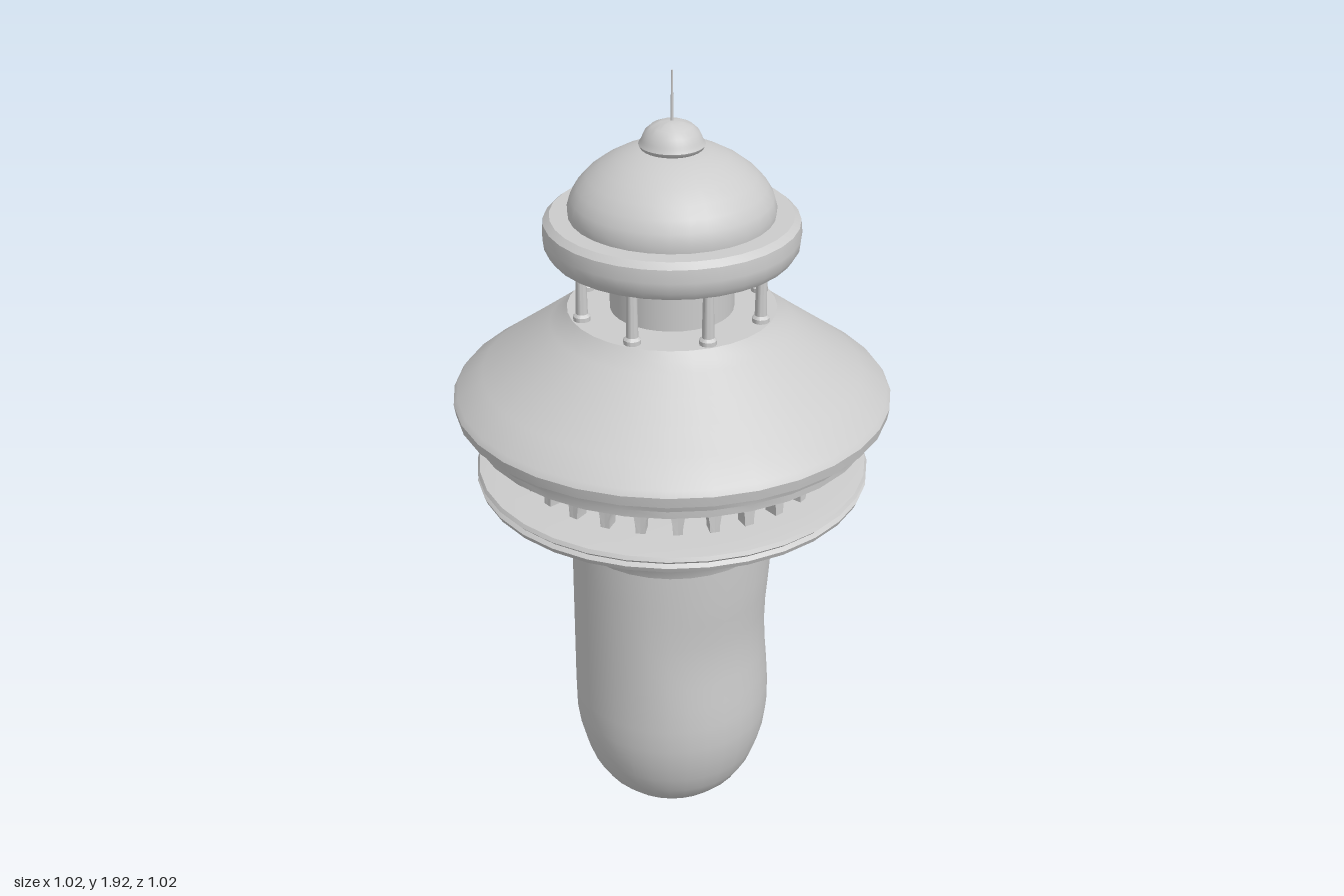
import * as THREE from 'three';
import { toCreasedNormals } from 'three/addons/utils/BufferGeometryUtils.js';

const material = new THREE.MeshStandardMaterial({ color: 0xcccccc, side: THREE.DoubleSide });
const SIDES = 32;

export function createModel() {
  const group = new THREE.Group();

  const add = (name, geometry, parent = group) => {
    const mesh = new THREE.Mesh(geometry, material);
    mesh.name = name;
    parent.add(mesh);
    return mesh;
  };
  // Turned part from [radius, height] pairs, listed from bottom to top
  const turned = (profile, sides = SIDES) =>
    new THREE.LatheGeometry(profile.map(([r, y]) => new THREE.Vector2(r, y)), sides);
  const addTurned = (name, profile, sides) =>
    add(name, toCreasedNormals(turned(profile, sides), 0.6));

  // Rounded shaft with a shallow, uneven dent on its front left side
  const shaft = turned([
    [0, 0.005], [0.055, 0.012], [0.106, 0.03], [0.15, 0.06], [0.18, 0.09], [0.205, 0.13],
    [0.222, 0.175], [0.235, 0.225], [0.243, 0.28], [0.244, 0.34], [0.244, 0.4], [0.244, 0.46],
    [0.244, 0.52], [0.244, 0.58], [0.244, 0.64], [0.244, 0.7], [0.244, 0.8],
  ]);
  const p = shaft.attributes.position;
  for (let i = 0; i < p.count; i++) {
    const x = p.getX(i), y = p.getY(i), z = p.getZ(i);
    const facing = (x + z) / (Math.hypot(x, z) * Math.SQRT2 + 1e-6);
    const dent = 0.014 * Math.exp(-(((y - 0.53) / 0.14) ** 2)) * THREE.MathUtils.smoothstep(facing, 0.1, 0.8);
    const scale = 1 - dent / 0.244;
    p.setXYZ(i, x * scale, y, z * scale);
  }
  add('shaft', toCreasedNormals(shaft, 0.9));

  // Flared support and moulded gallery floor
  addTurned('flaredSupport', [
    [0.244, 0.79], [0.252, 0.815], [0.272, 0.845], [0.305, 0.88], [0.345, 0.907], [0.375, 0.92],
  ]);
  addTurned('galleryFloor', [
    [0.375, 0.92], [0.41, 0.92], [0.417, 0.928], [0.412, 0.938], [0.44, 0.942], [0.458, 0.948],
    [0.463, 0.96], [0.455, 0.968], [0.463, 0.976], [0.458, 0.985], [0.42, 0.99], [0, 0.99],
  ]);

  // Ring of arches: one flat bay, bent round the axis and repeated
  const bays = 28, half = Math.PI / bays, outer = 0.372, depth = 0.035;
  const bayShape = new THREE.Shape();
  bayShape.moveTo(-half, 0.988);
  const open = half * 0.74;
  for (let i = 0; i <= 12; i++) {
    const a = Math.PI * (1 - i / 12);
    bayShape.lineTo(open * Math.cos(a), 0.988 + 0.078 * Math.sin(a) ** 0.9);
  }
  bayShape.lineTo(half, 0.988);
  bayShape.lineTo(half, 1.12);
  bayShape.lineTo(0, 1.12);
  bayShape.lineTo(-half, 1.12);
  const bay = new THREE.ExtrudeGeometry(bayShape, { depth, bevelEnabled: false });
  const b = bay.attributes.position;
  for (let i = 0; i < b.count; i++) {
    const angle = b.getX(i), r = outer - depth + b.getZ(i);
    b.setXYZ(i, r * Math.sin(angle), b.getY(i), r * Math.cos(angle));
  }
  const bayGeometry = toCreasedNormals(bay, 0.6);
  const arcade = new THREE.Group();
  arcade.name = 'arcade';
  group.add(arcade);
  for (let i = 0; i < bays; i++) add('archBay', bayGeometry, arcade).rotation.y = i * 2 * half;

  // Wide skirt roof with stepped eaves and flat top
  addTurned('skirtRoof', [
    [0, 1.12], [0.45, 1.12], [0.455, 1.092], [0.47, 1.092], [0.472, 1.112], [0.48, 1.115],
    [0.487, 1.135], [0.505, 1.14], [0.509, 1.165], [0.5, 1.178], [0.44, 1.222], [0.38, 1.266],
    [0.325, 1.307], [0.28, 1.341], [0.255, 1.36], [0.24, 1.378], [0, 1.378],
  ]);

  // Lantern drum with eight columns
  add('lanternDrum', new THREE.CylinderGeometry(0.142, 0.142, 0.15, SIDES)).position.y = 1.45;
  const columnGeometry = toCreasedNormals(turned([
    [0, 1.375], [0.02, 1.375], [0.02, 1.388], [0.014, 1.394], [0.012, 1.5],
    [0.019, 1.507], [0.019, 1.52], [0, 1.52],
  ], 12), 0.6);
  for (let i = 0; i < 8; i++) {
    const angle = (i * Math.PI) / 4;
    add('column', columnGeometry).position.set(0.217 * Math.sin(angle), 0, 0.217 * Math.cos(angle));
  }

  // Rounded cornice, dome and finial
  addTurned('cornice', [
    [0, 1.515], [0.255, 1.51], [0.276, 1.517], [0.288, 1.535], [0.291, 1.56],
    [0.288, 1.59], [0.274, 1.603], [0.23, 1.603],
  ]);
  addTurned('dome', [
    [0.232, 1.6], [0.234, 1.62], [0.227, 1.645], [0.212, 1.67], [0.19, 1.694], [0.16, 1.717],
    [0.125, 1.737], [0.09, 1.75], [0.06, 1.757], [0, 1.757],
  ]);
  addTurned('finial', [
    [0.06, 1.75], [0.07, 1.757], [0.074, 1.765], [0.069, 1.773], [0.067, 1.778], [0.06, 1.793],
    [0.046, 1.806], [0.025, 1.815], [0, 1.818],
  ]);
  add('spire', new THREE.CylinderGeometry(0.002, 0.004, 0.12, 8)).position.y = 1.87;

  return group;
}
